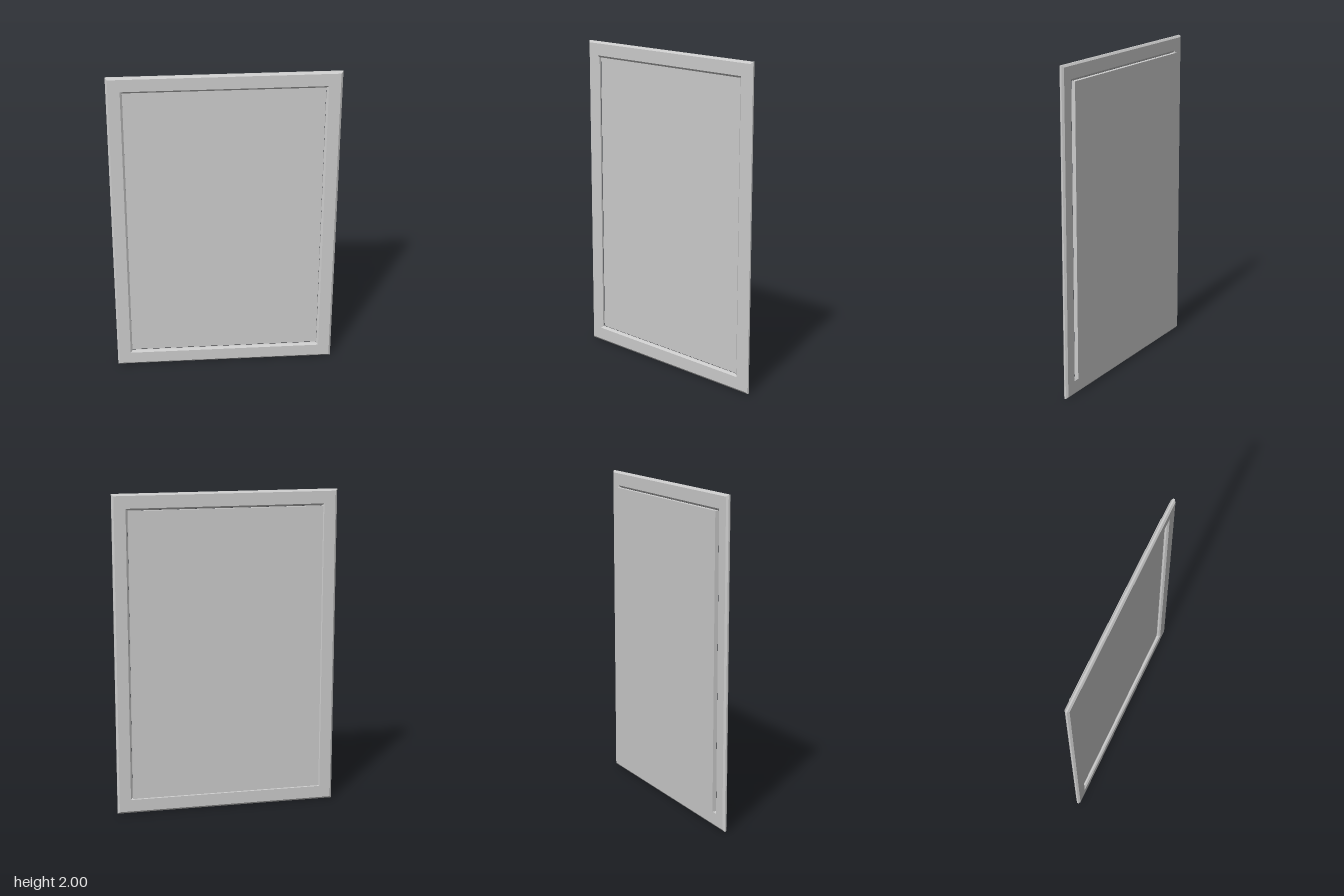
import * as THREE from 'three';

const WIDTH = 1.39, HEIGHT = 2, BEVEL = 0.012, THICKNESS = 0.03;
const PANEL_W = 1.2, PANEL_H = 1.8;

// Traces a rectangle centred on the origin
function rectangle(path, w, h) {
  path.moveTo(-w / 2, -h / 2);
  path.lineTo(w / 2, -h / 2);
  path.lineTo(w / 2, h / 2);
  path.lineTo(-w / 2, h / 2);
  path.closePath();
  return path;
}

export function createModel() {
  const group = new THREE.Group();
  const material = new THREE.MeshStandardMaterial({ color: 0xcccccc, flatShading: true });

  // Frame: flat border, chamfered on its outer and inner edges
  const border = rectangle(new THREE.Shape(), WIDTH - 2 * BEVEL, HEIGHT - 2 * BEVEL);
  border.holes.push(rectangle(new THREE.Path(), PANEL_W + 2 * BEVEL, PANEL_H + 2 * BEVEL));
  const chamfer = 0.01;
  const frameGeometry = new THREE.ExtrudeGeometry(border, {
    depth: THICKNESS - 2 * chamfer,
    bevelEnabled: true,
    bevelThickness: chamfer,
    bevelSize: BEVEL,
    bevelSegments: 1,
  });
  const frame = new THREE.Mesh(frameGeometry, material);
  frame.name = 'frame';
  frame.position.set(0, HEIGHT / 2, -0.007 + chamfer);
  group.add(frame);

  // Panel: fills the opening and stands proud of the back
  const panel = new THREE.Mesh(new THREE.BoxGeometry(PANEL_W, PANEL_H, 0.025), material);
  panel.name = 'panel';
  panel.position.set(0, HEIGHT / 2, -0.0125);
  group.add(panel);

  return group;
}
